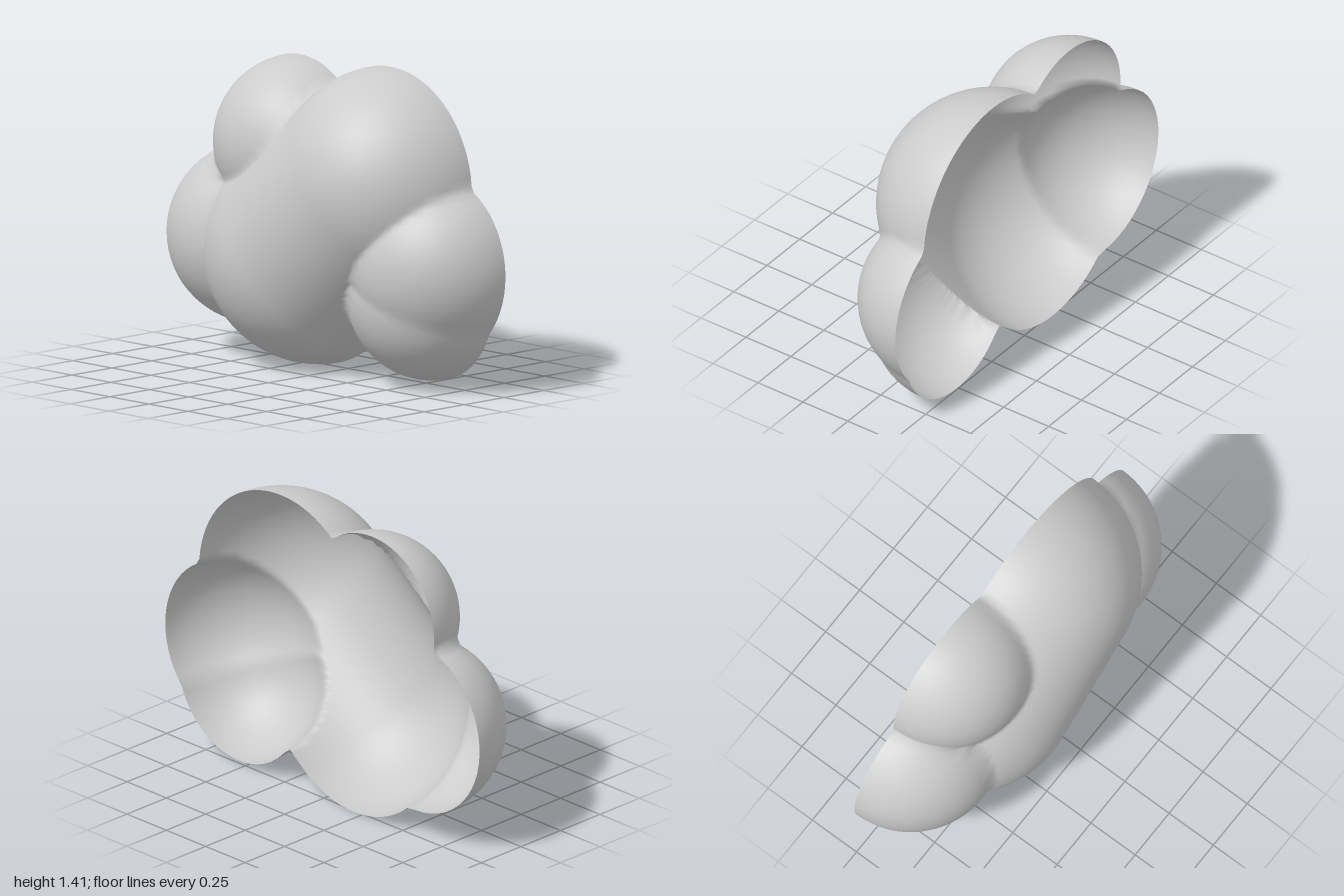
import * as THREE from 'three';

const BACK = -0.262; // plane of the open back
const CENTRE = new THREE.Vector3(0.05, 0.67, BACK);

// Rounded lobes of the cloud: a -> b is the axis, r the radius
const lobe = (ax, ay, bx, by, r) => ({
  a: new THREE.Vector3(ax, ay, BACK),
  ab: new THREE.Vector3(bx - ax, by - ay, 0),
  r,
});
const puff = (x, y, r) => lobe(x, y, x, y, r);
const lobes = [
  lobe(-0.2, 0.524, 0.26, 0.89, 0.522), // main slanted body
  puff(-0.32, 1.0, 0.392), // upper left
  puff(-0.585, 0.55, 0.415), // left
  puff(0.582, 0.55, 0.415), // right
  puff(0.53, 0.41, 0.388), // lower right
];

// Distance from a point to the joined lobes
const tmp = new THREE.Vector3();
function distance(p) {
  let best = Infinity;
  for (const { a, ab, r } of lobes) {
    tmp.copy(p).sub(a);
    const len = ab.lengthSq();
    const t = len ? THREE.MathUtils.clamp(tmp.dot(ab) / len, 0, 1) : 0;
    best = Math.min(best, tmp.addScaledVector(ab, -t).length() - r);
  }
  return best;
}

// Walk inward along a ray until it meets the outer skin
function skinPoint(dir) {
  const p = new THREE.Vector3();
  let t = 1.6;
  for (let i = 0; i < 100; i++) {
    const d = distance(p.copy(CENTRE).addScaledVector(dir, t));
    if (d < 0.0002) break;
    t -= d;
  }
  return p;
}

// Half dome whose vertices are pushed out onto the joined lobes
function cloudGeometry(around = 144, rings = 48) {
  const pos = [];
  const index = [];
  const dir = new THREE.Vector3();
  pos.push(...skinPoint(dir.set(0, 0, 1)).toArray());
  for (let j = 1; j <= rings; j++) {
    const polar = (j / rings) * Math.PI / 2;
    for (let i = 0; i < around; i++) {
      const turn = (i / around) * Math.PI * 2;
      dir.set(Math.sin(polar) * Math.cos(turn), Math.sin(polar) * Math.sin(turn), Math.cos(polar));
      pos.push(...skinPoint(dir).toArray());
    }
  }
  const id = (j, i) => (j === 0 ? 0 : 1 + (j - 1) * around + (i % around));
  for (let j = 0; j < rings; j++) {
    for (let i = 0; i < around; i++) {
      index.push(id(j, i), id(j + 1, i), id(j + 1, i + 1));
      if (j > 0) index.push(id(j, i), id(j + 1, i + 1), id(j, i + 1));
    }
  }
  const geo = new THREE.BufferGeometry();
  geo.setAttribute('position', new THREE.Float32BufferAttribute(pos, 3));
  geo.setIndex(index);
  geo.computeVertexNormals();
  return geo;
}

export function createModel() {
  const group = new THREE.Group();
  group.name = 'cloud';
  // Hollow shell, open at the back
  const shell = new THREE.Mesh(
    cloudGeometry(),
    new THREE.MeshStandardMaterial({ color: 0xcccccc, side: THREE.DoubleSide })
  );
  shell.name = 'cloudShell';
  group.add(shell);
  return group;
}
